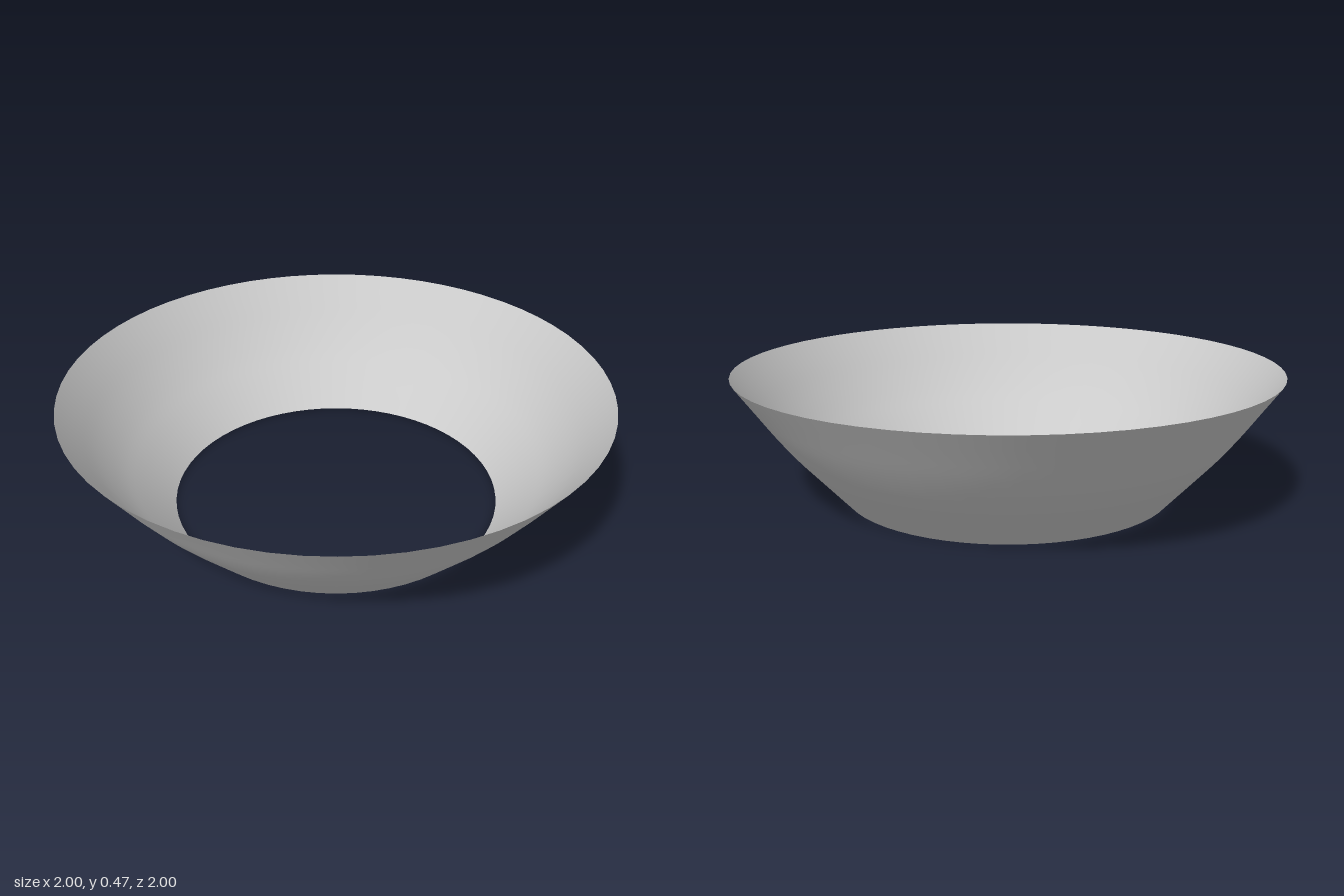
import * as THREE from 'three';

export function createModel() {
  const group = new THREE.Group();

  // Thin flared wall, open at top and bottom, steeper towards the rim
  const profile = new THREE.SplineCurve([
    [0.615, 0], [0.675, 0.065], [0.735, 0.13], [0.8, 0.202], [0.87, 0.29], [0.935, 0.38], [1, 0.47],
  ].map(([r, y]) => new THREE.Vector2(r, y)));

  const material = new THREE.MeshStandardMaterial({ color: 0xcccccc, side: THREE.DoubleSide });
  const wall = new THREE.Mesh(new THREE.LatheGeometry(profile.getPoints(18), 64), material);
  wall.name = 'flaredRingWall';
  group.add(wall);
  return group;
}
